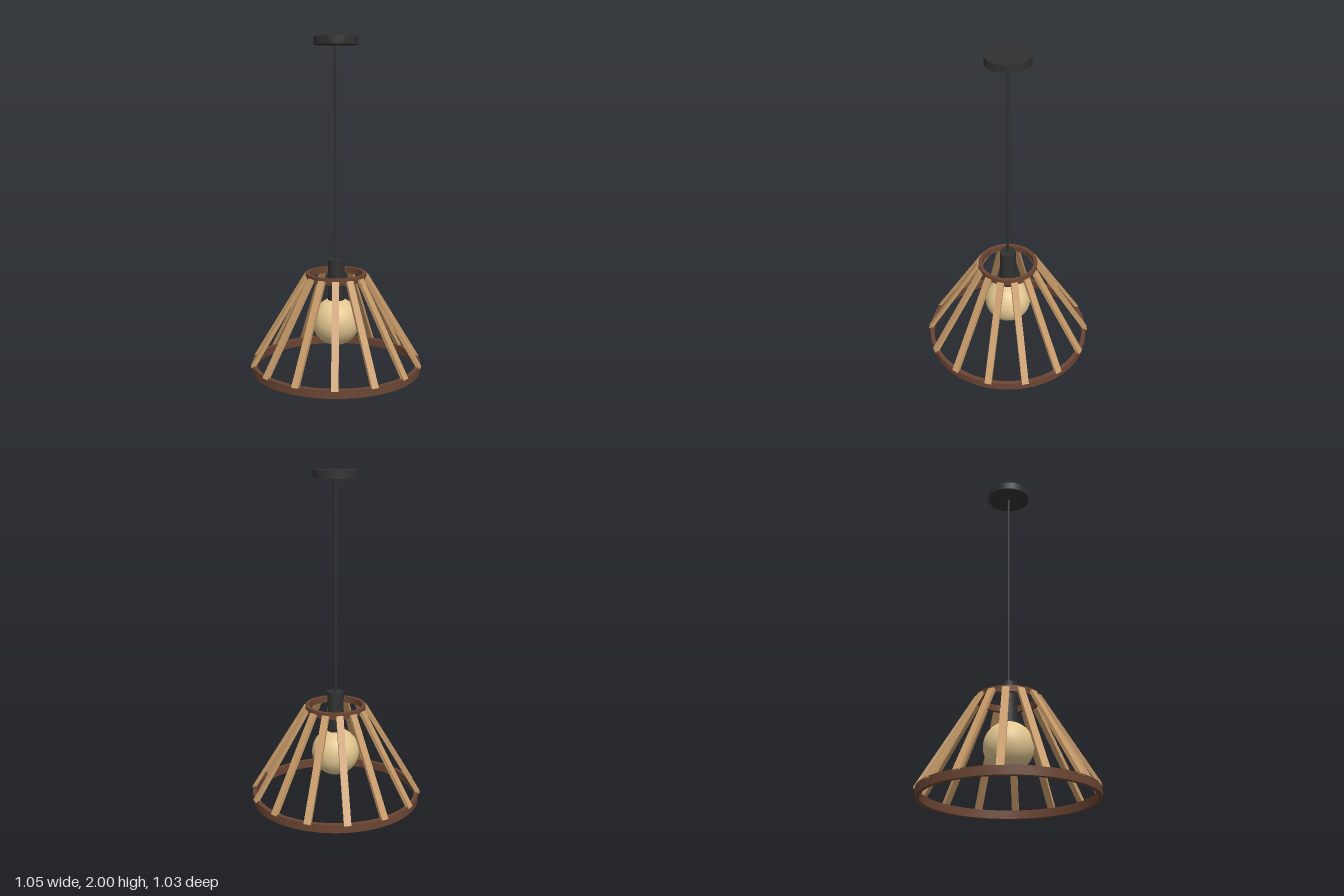
import * as THREE from 'three';

const mat = (name, color) => {
  const m = new THREE.MeshStandardMaterial({ color });
  m.name = name;
  return m;
};

export function createModel() {
  const model = new THREE.Group();
  model.name = 'pendantLamp';
  const black = mat('black metal', 0x313131);
  const darkWood = mat('dark wood', 0x6b4533);
  const lightWood = mat('light wood', 0xc69a68);
  const glass = mat('warm bulb', 0xe2c690);

  const add = (name, geometry, material, y = 0, parent = model) => {
    const mesh = new THREE.Mesh(geometry, material);
    mesh.name = name;
    mesh.position.y = y;
    parent.add(mesh);
    return mesh;
  };
  const rod = (name, r, y0, y1) =>
    add(name, new THREE.CylinderGeometry(r, r, y1 - y0, 48), black, (y0 + y1) / 2);

  // Ceiling fitting, cord and bulb holder
  rod('ceilingCanopy', 0.13, 1.953, 2);
  rod('cord', 0.008, 0.67, 1.96);
  rod('bulbHolder', 0.05, 0.43, 0.68);
  add('bulb', new THREE.SphereGeometry(0.145, 40, 28), glass, 0.297);

  // Flat hoops at the top and bottom of the shade
  const hoop = (name, outer, inner, y, height) => {
    const shape = new THREE.Shape().absarc(0, 0, outer, 0, Math.PI * 2);
    shape.holes.push(new THREE.Path().absarc(0, 0, inner, 0, Math.PI * 2, true));
    const g = new THREE.ExtrudeGeometry(shape, { depth: height, bevelEnabled: false, curveSegments: 64 });
    add(name, g.rotateX(-Math.PI / 2), darkWood, y);
  };
  hoop('bottomHoop', 0.513, 0.488, 0, 0.05);
  hoop('topHoop', 0.184, 0.161, 0.562, 0.038);

  // Sloping slats around the shade
  const count = 14;
  const low = new THREE.Vector2(0.514, 0.04), high = new THREE.Vector2(0.185, 0.582);
  const slatGeometry = new THREE.BoxGeometry(0.021, low.distanceTo(high), 0.042);
  const slats = new THREE.Group();
  slats.name = 'slats';
  model.add(slats);
  for (let i = 0; i < count; i++) {
    const arm = new THREE.Group();
    arm.name = 'slatArm';
    arm.rotation.y = -i * Math.PI * 2 / count;
    slats.add(arm);
    const slat = add('slat', slatGeometry, lightWood, (low.y + high.y) / 2, arm);
    slat.position.x = (low.x + high.x) / 2;
    slat.rotation.z = Math.atan2(low.x - high.x, high.y - low.y);
  }
  return model;
}
